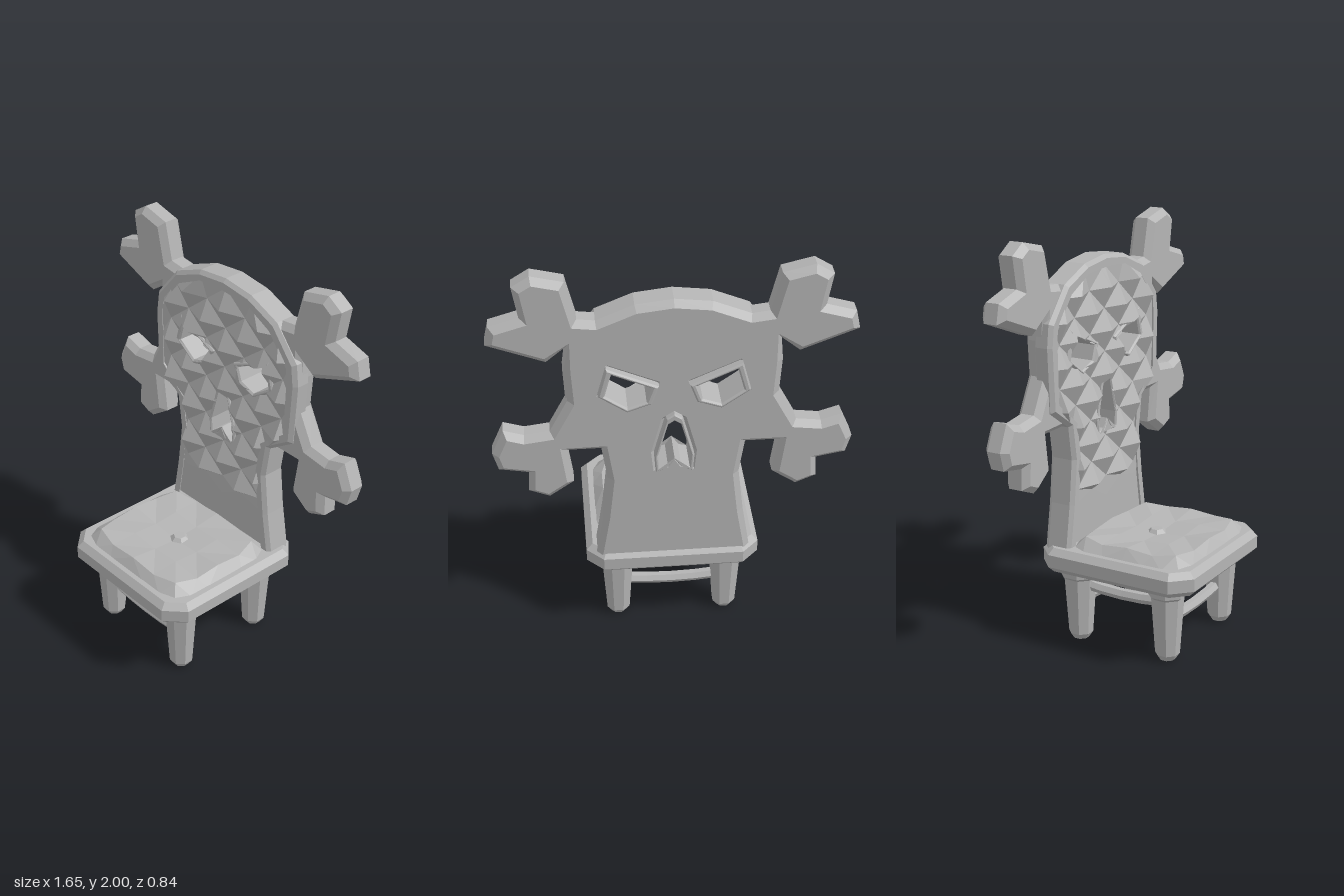
import * as THREE from 'three';

const grey = new THREE.MeshStandardMaterial({ color: 0xb4b4b4, flatShading: true, side: THREE.DoubleSide });
grey.name = 'stone grey';

// Half outlines (x >= 0), listed from top to bottom
const boardHalf = [[0, 1.86], [0.17, 1.84], [0.34, 1.77], [0.42, 1.78], [0.465, 1.965], [0.61, 2], [0.69, 1.95],
  [0.665, 1.8], [0.8, 1.76], [0.82, 1.67], [0.56, 1.57], [0.475, 1.64], [0.485, 1.53], [0.475, 1.36],
  [0.56, 1.2], [0.675, 1.185], [0.77, 1.215], [0.825, 1.09], [0.8, 1], [0.665, 0.975], [0.67, 0.87],
  [0.575, 0.83], [0.46, 0.91], [0.485, 1.09], [0.33, 1.09], [0.305, 0.92], [0.33, 0.7], [0.37, 0.45]];
const frameHalf = [[0, 1.86], [0.17, 1.84], [0.34, 1.77], [0.475, 1.61], [0.49, 1.5], [0.475, 1.19],
  [0.33, 1.09], [0.305, 0.92], [0.33, 0.7], [0.37, 0.45]];
const innerHalf = [[0, 1.82], [0.165, 1.81], [0.32, 1.735], [0.445, 1.58], [0.45, 1.5], [0.445, 1.215],
  [0.295, 1.09], [0.27, 0.92], [0.295, 0.7], [0.33, 0.47]];

// Openings, counter-clockwise
const eye = [[0.1, 1.44], [0.125, 1.37], [0.21, 1.34], [0.31, 1.41], [0.28, 1.52]];
const otherEye = eye.map(([x, y]) => [-x, y]).reverse();
const noseHull = [[0, 1.26], [-0.03, 1.24], [-0.075, 1.07], [-0.07, 1], [0.07, 1], [0.075, 1.07], [0.03, 1.24]];
const nose = [...noseHull.slice(0, 4), [-0.03, 1.01], [0, 1.055], [0.03, 1.01], ...noseHull.slice(4)];

const mirrored = half => [...half, ...half.filter(p => p[0] > 0).map(([x, y]) => [-x, y]).reverse()];
const toShape = pts => new THREE.Shape(pts.map(p => new THREE.Vector2(...p)));

function grow(pts, s) {
  const cx = pts.reduce((a, p) => a + p[0], 0) / pts.length;
  const cy = pts.reduce((a, p) => a + p[1], 0) / pts.length;
  return pts.map(([x, y]) => [cx + (x - cx) * s, cy + (y - cy) * s]);
}

function add(parent, name, geometry) {
  const mesh = new THREE.Mesh(geometry, grey);
  mesh.name = name;
  parent.add(mesh);
  return mesh;
}

// Bevelled plate between two z planes
function plate(pts, holes, z0, z1, bevel) {
  const shape = toShape(pts);
  shape.holes = holes.map(toShape);
  return new THREE.ExtrudeGeometry(shape, {
    depth: z1 - z0 - 2 * bevel, bevelEnabled: bevel > 0, bevelSegments: 1,
    bevelSize: bevel, bevelThickness: bevel, bevelOffset: -bevel
  }).translate(0, 0, z0 + bevel);
}

function trianglesToGeometry(positions) {
  const g = new THREE.BufferGeometry();
  g.setAttribute('position', new THREE.Float32BufferAttribute(positions, 3));
  g.computeVertexNormals();
  return g;
}

// Part of a polygon on one side of the line a-b
function half(poly, a, b, sign) {
  const side = p => sign * ((b[0] - a[0]) * (p[1] - a[1]) - (b[1] - a[1]) * (p[0] - a[0]));
  const out = [];
  poly.forEach((p, i) => {
    const q = poly[(i + 1) % poly.length], s = side(p), t = side(q);
    if (s >= 0) out.push(p);
    if (s * t < 0) out.push(p.map((v, k) => v + (q[k] - v) * s / (s - t)));
  });
  return out;
}

// Polygon minus a convex opening
function cut(poly, hole) {
  const pieces = [];
  hole.forEach((a, i) => {
    const b = hole[(i + 1) % hole.length];
    if (poly.length < 3) return;
    pieces.push(half(poly, a, b, -1));
    poly = half(poly, a, b, 1);
  });
  return pieces.filter(p => p.length > 2);
}

// Diamond quilting: low nodes joined by grooves, a peak in every diamond
function quilt() {
  const width = y => {
    const k = innerHalf.findIndex(p => p[1] <= y);
    if (k <= 0) return 0.17;
    const [a, b] = [innerHalf[k - 1], innerHalf[k]];
    return a[0] + (b[0] - a[0]) * (a[1] - y) / (a[1] - b[1]) + 0.01;
  };
  const rows = 11;
  const node = (i, j) => {
    const odd = (i + j) % 2 !== 0;
    let y = 1.81 - j * 0.105;
    if (j === rows) y += Math.abs(i) % 2 ? 0.07 : Math.abs(i) * 0.02;
    const w = width(y), x = i * 0.13;
    const edge = Math.abs(x) >= w || j === 0 || j === rows;
    return [THREE.MathUtils.clamp(x, -w, w), y, edge ? -0.258 : odd ? -0.214 : -0.26];
  };
  const out = [];
  for (let j = 0; j < rows; j++) for (let i = -4; i < 4; i++) {
    const a = node(i, j), b = node(i + 1, j), c = node(i + 1, j + 1), d = node(i, j + 1);
    const tris = (i + j) % 2 === 0 ? [[a, d, c], [a, c, b]] : [[a, d, b], [b, d, c]];
    let polys = tris.filter(([p, q, r]) =>
      Math.abs((q[0] - p[0]) * (r[1] - p[1]) - (q[1] - p[1]) * (r[0] - p[0])) > 1e-6);
    for (const hole of [eye, otherEye, noseHull]) polys = polys.flatMap(p => cut(p, hole));
    for (const p of polys) for (let k = 1; k < p.length - 1; k++) out.push(...p[0], ...p[k], ...p[k + 1]);
  }
  return trianglesToGeometry(out);
}

// Seat pad: square rings rising from the rim and dipping to the button
function seatPad() {
  const reach = [0, 0.42, 0.86, 1];
  const node = (i, j) => {
    const r = Math.max(Math.abs(i), Math.abs(j));
    const s = r ? reach[r] / r : 0;
    const corner = r > 1 && Math.abs(i) === Math.abs(j) ? 0.9 : 1;
    const y = [0.512, (i + j) % 2 ? 0.522 : 0.532, (i + j) % 2 ? 0.528 : 0.54, 0.485][r];
    return [i * s * corner * 0.365, y, 0.05 + j * s * corner * 0.32];
  };
  const out = [];
  for (let i = -3; i < 3; i++) for (let j = -3; j < 3; j++) {
    const a = node(i, j), b = node(i, j + 1), c = node(i + 1, j + 1), d = node(i + 1, j);
    const quad = i * j >= 0 && (i >= 0) === (j >= 0) ? [a, b, c, a, c, d] : [a, b, d, b, c, d];
    out.push(...quad.flat());
  }
  return trianglesToGeometry(out);
}

export function createModel() {
  const model = new THREE.Group();
  model.name = 'chair';

  // Backrest
  const back = new THREE.Group();
  back.name = 'backrest';
  model.add(back);
  add(back, 'backBoard', plate(mirrored(boardHalf), [eye, otherEye, nose], -0.39, -0.262, 0.03));
  add(back, 'skullFrame', plate(mirrored(frameHalf), [mirrored(innerHalf)], -0.34, -0.24, 0.018));
  add(back, 'quiltedFace', quilt());
  add(back, 'leftEyeRim', plate(grow(eye, 1.3), [eye], -0.42, -0.245, 0.008));
  add(back, 'rightEyeRim', plate(grow(otherEye, 1.3), [otherEye], -0.42, -0.245, 0.008));
  add(back, 'noseRim', plate(grow(nose, 1.22), [nose], -0.42, -0.245, 0.006));

  // Seat
  const seatOutline = [[-0.325, -0.42], [0.325, -0.42], [0.415, -0.33], [0.415, 0.33], [0.335, 0.41],
    [-0.335, 0.41], [-0.415, 0.33], [-0.415, -0.33]];
  add(model, 'seat', plate(seatOutline, [], 0.37, 0.492, 0.03).rotateX(-Math.PI / 2));
  add(model, 'seatPad', seatPad());
  add(model, 'seatButton', new THREE.CylinderGeometry(0.03, 0.05, 0.018, 6)).position.set(0.005, 0.523, 0.03);

  // Legs
  const legProfile = [[0, 0], [0.04, 0], [0.06, 0.03], [0.08, 0.32], [0.098, 0.335], [0.102, 0.385]]
    .map(p => new THREE.Vector2(...p));
  for (const x of [-0.265, 0.265]) for (const z of [-0.245, 0.245]) {
    const name = (z > 0 ? 'front' : 'back') + (x > 0 ? 'Left' : 'Right') + 'Leg';
    const leg = add(model, name, new THREE.LatheGeometry(legProfile, 8, Math.PI / 8));
    leg.position.set(x, 0, z);
  }

  // Rails between the legs, sagging slightly
  const rail = (name, from, to) => {
    const mid = from.clone().lerp(to, 0.5);
    mid.y -= 0.03;
    add(model, name, new THREE.TubeGeometry(new THREE.QuadraticBezierCurve3(from, mid, to), 4, 0.028, 6));
  };
  for (const s of [-1, 1]) {
    rail(s > 0 ? 'frontRail' : 'backRail', new THREE.Vector3(-0.24, 0.2, s * 0.245), new THREE.Vector3(0.24, 0.2, s * 0.245));
    rail(s > 0 ? 'leftRail' : 'rightRail', new THREE.Vector3(s * 0.265, 0.29, -0.22), new THREE.Vector3(s * 0.265, 0.29, 0.22));
  }
  return model;
}
